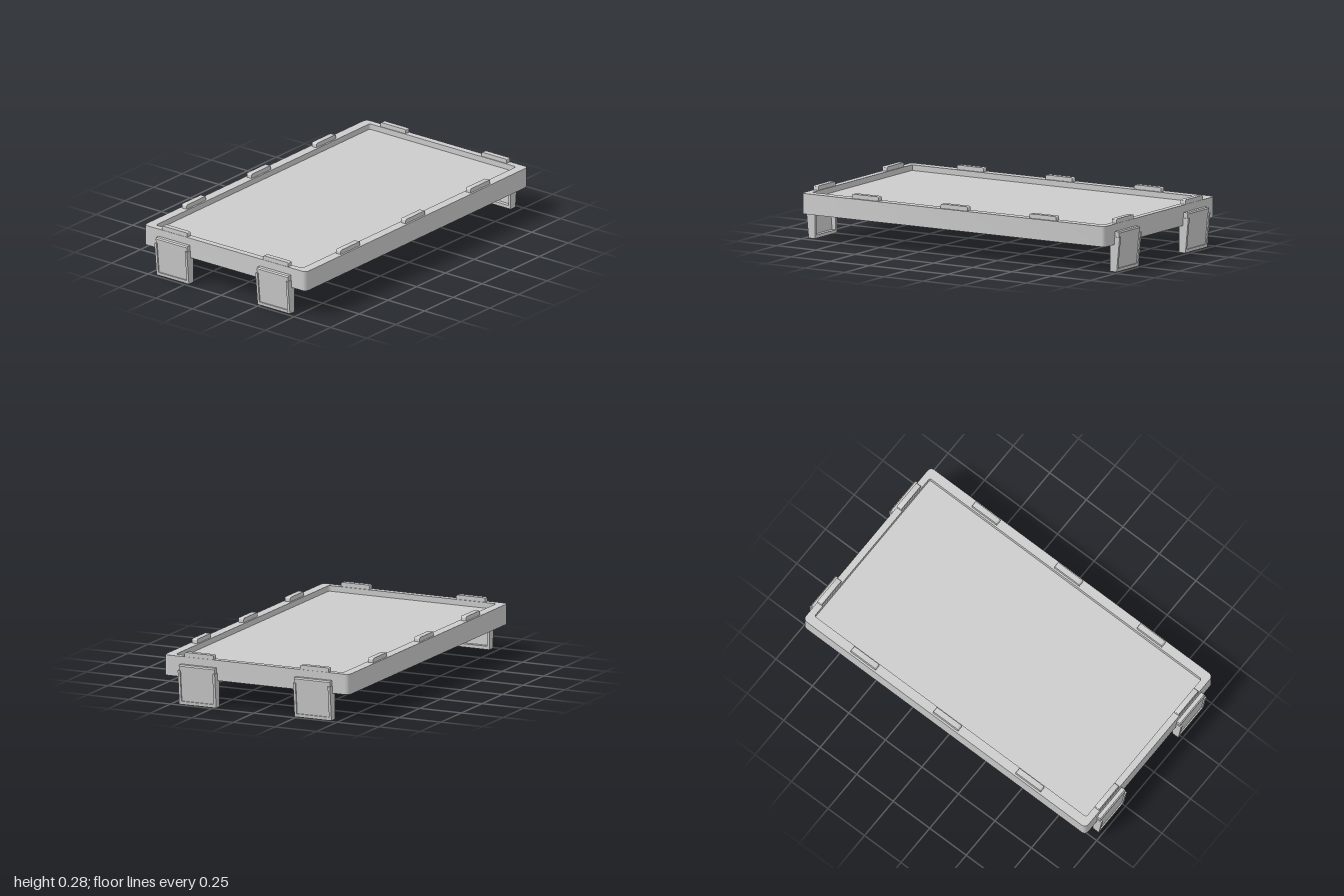
import * as THREE from 'three';
import { toCreasedNormals } from 'three/addons/utils/BufferGeometryUtils.js';

const material = new THREE.MeshStandardMaterial({ color: 0xcccccc });

function mesh(name, geometry, parent) {
  const m = new THREE.Mesh(toCreasedNormals(geometry, 0.6), material);
  m.name = name;
  parent.add(m);
  return m;
}

// Rounded rectangle outline, centred on the origin
function roundedRect(path, halfW, halfH, r) {
  path.moveTo(halfW, -halfH + r);
  path.absarc(halfW - r, halfH - r, r, 0, Math.PI / 2);
  path.absarc(-halfW + r, halfH - r, r, Math.PI / 2, Math.PI);
  path.absarc(-halfW + r, -halfH + r, r, Math.PI, Math.PI * 1.5);
  path.absarc(halfW - r, -halfH + r, r, Math.PI * 1.5, Math.PI * 2);
  return path;
}

function extrude(shape, depth) {
  return new THREE.ExtrudeGeometry(shape, { depth, bevelEnabled: false, curveSegments: 8 });
}

// Side profile in x and y, extruded between two z positions
function profile(points, z0, z1) {
  const shape = new THREE.Shape(points.map(([x, y]) => new THREE.Vector2(x, y)));
  return extrude(shape, z1 - z0).translate(0, 0, z0);
}

// Low locating tab with rounded upper corners, standing on the rim
function tabGeometry(length, thickness) {
  const h = length / 2, y0 = 0.255, y1 = 0.285, r = 0.009;
  const s = new THREE.Shape();
  s.moveTo(-h, y0);
  s.lineTo(h, y0);
  s.absarc(h - r, y1 - r, r, 0, Math.PI / 2);
  s.absarc(-h + r, y1 - r, r, Math.PI / 2, Math.PI);
  return extrude(s, thickness).translate(0, 0, -thickness / 2);
}

// Hollow clip leg: tapered cheeks, slanted plate, bottom lip, top bridge
function clip(parent, z) {
  const g = new THREE.Group();
  g.name = 'clipLeg';
  g.position.z = z;
  parent.add(g);
  const half = 0.111, wall = 0.014, inner = half - wall;
  const cheek = [[0.94, 0], [0.981, 0], [1, 0.19], [0.966, 0.19], [0.966, 0.151], [0.94, 0.151]];
  for (const z0 of [-half, inner]) mesh('clipCheek', profile(cheek, z0, z0 + wall), g);
  mesh('clipPlate', profile([[0.962, 0.01], [0.975, 0.01], [0.992, 0.19], [0.979, 0.19]], -inner, inner), g);
  mesh('clipLip', profile([[0.94, 0], [0.981, 0], [0.983, 0.018], [0.94, 0.018]], -inner, inner), g);
  mesh('clipBridge', profile([[0.966, 0.19], [0.992, 0.19], [0.994, 0.213], [0.988, 0.22], [0.966, 0.22]],
    -half + 0.004, half - 0.004), g);
}

export function createModel() {
  const model = new THREE.Group();
  model.name = 'tray';

  // Rim frame with rounded corners
  const outline = roundedRect(new THREE.Shape(), 0.967, 0.555, 0.025);
  outline.holes.push(roundedRect(new THREE.Path(), 0.93, 0.502, 0.012));
  mesh('rimFrame', extrude(outline, 0.112).rotateX(-Math.PI / 2).translate(0, 0.149, 0), model);

  // Recessed floor panel
  const floor = roundedRect(new THREE.Shape(), 0.931, 0.503, 0.012);
  mesh('floorPanel', extrude(floor, 0.06).rotateX(-Math.PI / 2).translate(0, 0.17, 0), model);

  // Tabs along the front and back rims
  for (const side of [-1, 1]) {
    for (const x of [-0.565, 0, 0.565]) {
      mesh('longRimTab', tabGeometry(0.17, 0.032), model).position.set(x, 0, side * 0.528);
    }
  }

  // Tabs and clip legs on both ends
  for (const angle of [0, Math.PI]) {
    const end = new THREE.Group();
    end.name = angle ? 'rightEnd' : 'leftEnd';
    end.rotation.y = angle;
    model.add(end);
    for (const z of [-0.346, 0.346]) {
      mesh('endRimTab', tabGeometry(0.172, 0.03).rotateY(Math.PI / 2), end).position.set(0.95, 0, z);
      clip(end, z);
    }
  }
  return model;
}
